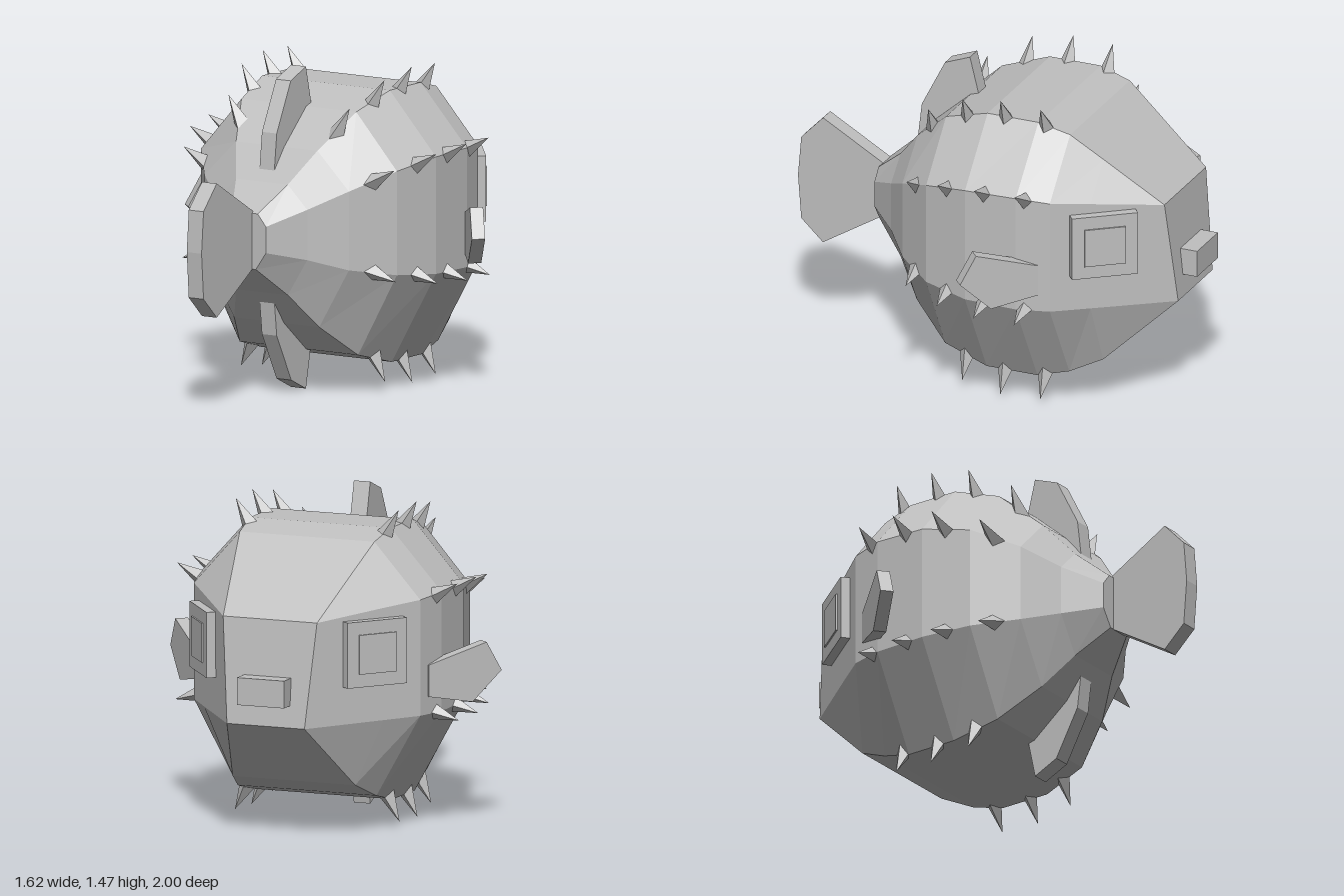
import * as THREE from 'three';

const grey = new THREE.MeshStandardMaterial({ color: 0xbfbfbf });
grey.name = 'grey';

// Body sections: z, top half-width, top y, side half-width, upper y, lower y, bottom half-width, bottom y
const sections = [
  [0.59, 0.07, 0.865, 0.115, 0.81, 0.69, 0.06, 0.61],
  [0.45, 0.14, 0.985, 0.245, 0.88, 0.65, 0.14, 0.48],
  [0.33, 0.22, 1.13, 0.39, 0.96, 0.6, 0.23, 0.325],
  [0.15, 0.31, 1.29, 0.53, 1.04, 0.565, 0.32, 0.18],
  [-0.07, 0.345, 1.36, 0.595, 1.08, 0.545, 0.355, 0.12],
  [-0.32, 0.345, 1.36, 0.595, 1.085, 0.54, 0.355, 0.12],
  [-0.47, 0.33, 1.32, 0.555, 1.07, 0.54, 0.34, 0.16],
  [-0.62, 0.294, 1.21, 0.44, 1.05, 0.537, 0.3, 0.23],
];

function ring([z, tx, ty, sx, uy, ly, bx, by]) {
  return [[tx, ty], [-tx, ty], [-sx, uy], [-sx, ly], [-bx, by], [bx, by], [sx, ly], [sx, uy]]
    .map(([x, y]) => new THREE.Vector3(x, y, z));
}

function bodyGeometry() {
  const rings = sections.map(ring);
  // Each pair of corners closes onto one corner of the four-sided face
  const upper = s => new THREE.Vector3(0.23 * s, 1.01, -0.89);
  const lower = s => new THREE.Vector3(0.19 * s, 0.53, -0.94);
  rings.push([upper(1), upper(-1), upper(-1), lower(-1), lower(-1), lower(1), lower(1), upper(1)]);
  const points = [];
  const tri = (a, b, c) => {
    if (!a.equals(b) && !b.equals(c) && !a.equals(c)) points.push(a, b, c);
  };
  for (let i = 0; i < rings.length - 1; i++) {
    for (let j = 0; j < 8; j++) {
      const k = (j + 1) % 8;
      const a = rings[i][j], b = rings[i][k], c = rings[i + 1][j], d = rings[i + 1][k];
      tri(a, c, d);
      tri(a, d, b);
    }
  }
  const back = rings[0], face = rings[rings.length - 1];
  for (let j = 1; j < 7; j++) {
    tri(back[0], back[j], back[j + 1]);
    tri(face[0], face[j + 1], face[j]);
  }
  const geometry = new THREE.BufferGeometry().setFromPoints(points);
  geometry.computeVertexNormals();
  return geometry;
}

// Flat plate whose outline runs along a horizontal direction and up
function plate(outline, thickness, angle) {
  const shape = new THREE.Shape(outline.map(([a, y]) => new THREE.Vector2(a, y)));
  const geometry = new THREE.ExtrudeGeometry(shape, { depth: thickness, bevelEnabled: false });
  return geometry.translate(0, 0, -thickness / 2).rotateY(angle);
}

// Section values at any z along the body
function sectionAt(z) {
  const i = sections.findIndex(s => s[0] <= z);
  const a = sections[i - 1], b = sections[i];
  const t = (z - a[0]) / (b[0] - a[0]);
  return a.map((v, n) => THREE.MathUtils.lerp(v, b[n], t));
}

export function createModel() {
  const model = new THREE.Group();
  model.name = 'spikyFish';
  const add = (name, geometry, x = 0, y = 0, z = 0) => {
    const mesh = new THREE.Mesh(geometry, grey);
    mesh.name = name;
    mesh.position.set(x, y, z);
    model.add(mesh);
    return mesh;
  };

  add('body', bodyGeometry());
  add('mouth', new THREE.BoxGeometry(0.23, 0.125, 0.12), 0, 0.692, -0.94);

  // Upright fins
  const along = -Math.PI / 2;
  add('tailFin', plate([[0.56, 0.86], [0.587, 0.877], [0.877, 1.043], [0.984, 0.93], [1, 0.74],
    [0.984, 0.53], [0.877, 0.43], [0.587, 0.61], [0.56, 0.63]], 0.08, along));
  add('topFin', plate([[0.41, 1.03], [0.39, 1.2], [0.276, 1.424], [0.153, 1.472],
    [0.11, 1.3], [0.15, 1.15]], 0.08, along));
  add('bottomFin', plate([[0.41, 0.44], [0.39, 0.276], [0.272, 0.056], [0.153, 0],
    [0.115, 0.18], [0.15, 0.32]], 0.08, along));

  for (const side of [1, -1]) {
    const label = side > 0 ? 'left' : 'right';

    // Swept side fins
    const sweep = side > 0 ? -0.863 : 0.863 - Math.PI;
    add(label + 'SideFin', plate([[-0.02, 0.62], [-0.02, 0.765], [0.27, 0.848], [0.345, 0.715],
      [0.2, 0.58]], 0.06, sweep), side * 0.565, 0, -0.385);

    // Square eyes lying on the slanted cheeks
    const turn = side * Math.atan2(0.79, -0.61);
    const eye = add(label + 'Eye', new THREE.BoxGeometry(0.305, 0.3, 0.06), side * 0.416, 0.855, -0.672);
    eye.rotation.y = turn;
    const pupil = add(label + 'Pupil', new THREE.BoxGeometry(0.19, 0.18, 0.009), side * 0.442, 0.855, -0.692);
    pupil.rotation.y = turn;

    // Spikes in rows along the ridges: x index, y index, direction, spike positions
    const rows = [
      ['top', 1, 2, 0.5, 0.86, [0.23, 0.035, -0.16, -0.355]],
      ['upper', 3, 4, 0.86, 0.45, [0.23, 0.035, -0.16, -0.355]],
      ['lower', 3, 5, 0.96, -0.27, [0.23, 0.035, -0.16, -0.355]],
      ['bottom', 6, 7, 0.45, -0.89, [0.035, -0.16, -0.355]],
    ];
    for (const [row, xi, yi, dx, dy, stations] of rows) {
      const dir = new THREE.Vector3(side * dx, dy, 0).normalize();
      for (const z of stations) {
        const s = sectionAt(z);
        const spike = add(label + '_' + row + 'Spike',
          new THREE.ConeGeometry(0.046, 0.16, 4).toNonIndexed());
        spike.geometry.computeVertexNormals();
        spike.position.set(side * s[xi], s[yi], z).addScaledVector(dir, 0.035);
        spike.quaternion.setFromUnitVectors(new THREE.Vector3(0, 1, 0), dir);
      }
    }
  }
  return model;
}
